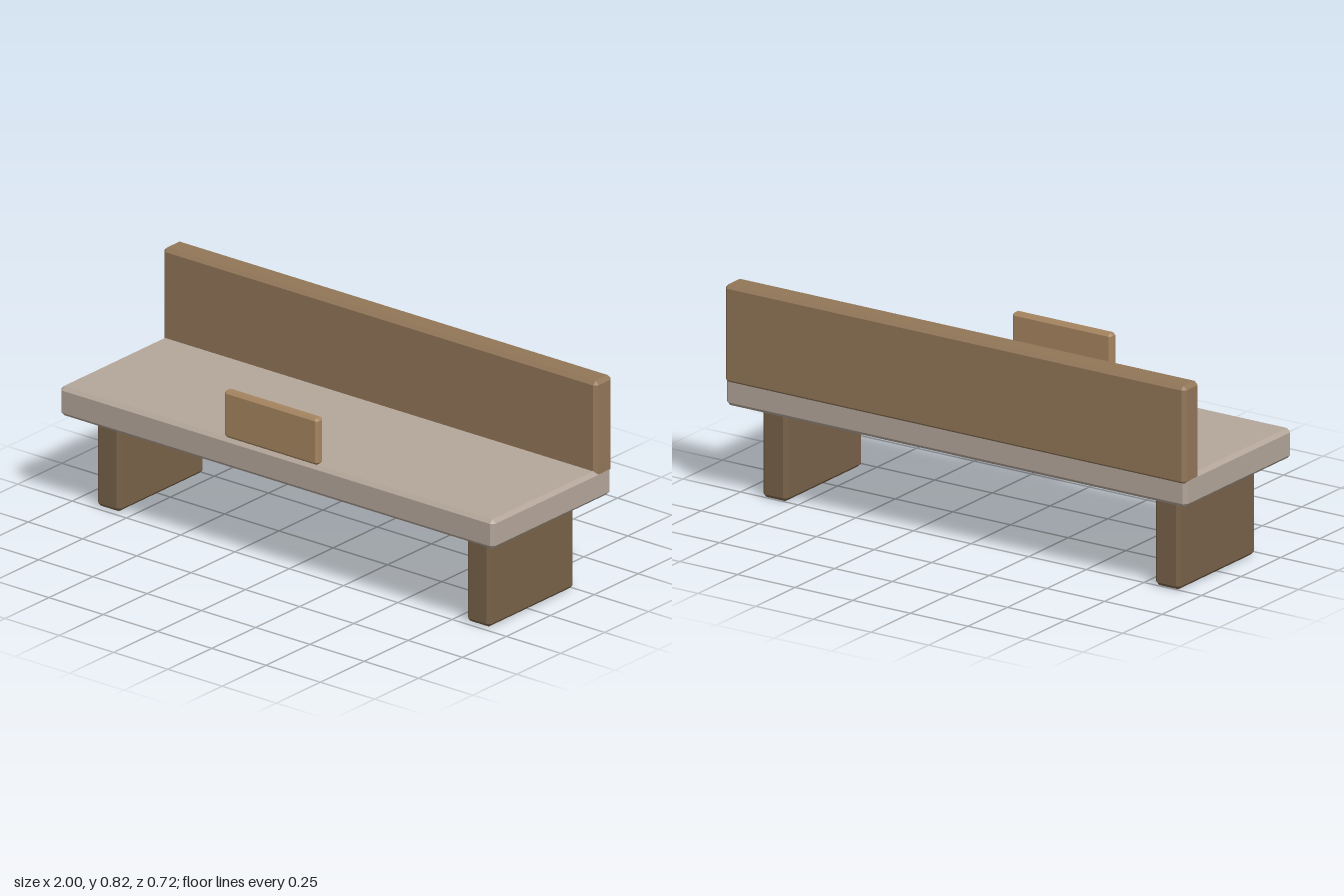
import * as THREE from 'three';
import { ConvexGeometry } from 'three/addons/geometries/ConvexGeometry.js';

// Box between two corners with every edge cut at 45 degrees by c
function chamferBox(name, color, min, max, c) {
  const size = min.map((v, i) => max[i] - v);
  const points = [];
  for (const sx of [-1, 1]) for (const sy of [-1, 1]) for (const sz of [-1, 1]) {
    for (let axis = 0; axis < 3; axis++) {
      const p = [sx, sy, sz].map((s, i) => s * (size[i] / 2 - (i === axis ? 0 : c)));
      points.push(new THREE.Vector3(...p));
    }
  }
  const material = new THREE.MeshStandardMaterial({ color, flatShading: true });
  const mesh = new THREE.Mesh(new ConvexGeometry(points), material);
  mesh.name = name;
  mesh.position.set(...min.map((v, i) => (v + max[i]) / 2));
  return mesh;
}

export function createModel() {
  const group = new THREE.Group();
  group.name = 'bench';

  // Stone seat slab
  group.add(chamferBox('seat', 0xb4a69a, [-1, 0.357, -0.35], [1, 0.471, 0.326], 0.014));

  // Backrest, sunk slightly into the seat and overhanging its rear edge
  group.add(chamferBox('backrest', 0x927758, [-1, 0.444, -0.358], [1, 0.818, -0.261], 0.014));

  // Slab legs, tops sunk into the seat
  for (const side of [-1, 1]) {
    const x = side * 0.852;
    const name = side > 0 ? 'leftLeg' : 'rightLeg';
    group.add(chamferBox(name, 0x786249, [x - 0.055, 0, -0.256], [x + 0.055, 0.373, 0.232], 0.014));
  }

  // Small plaque floating at the front edge
  group.add(chamferBox('plaque', 0xa68560, [-0.216, 0.489, 0.32], [0.216, 0.671, 0.359], 0.01));

  return group;
}
